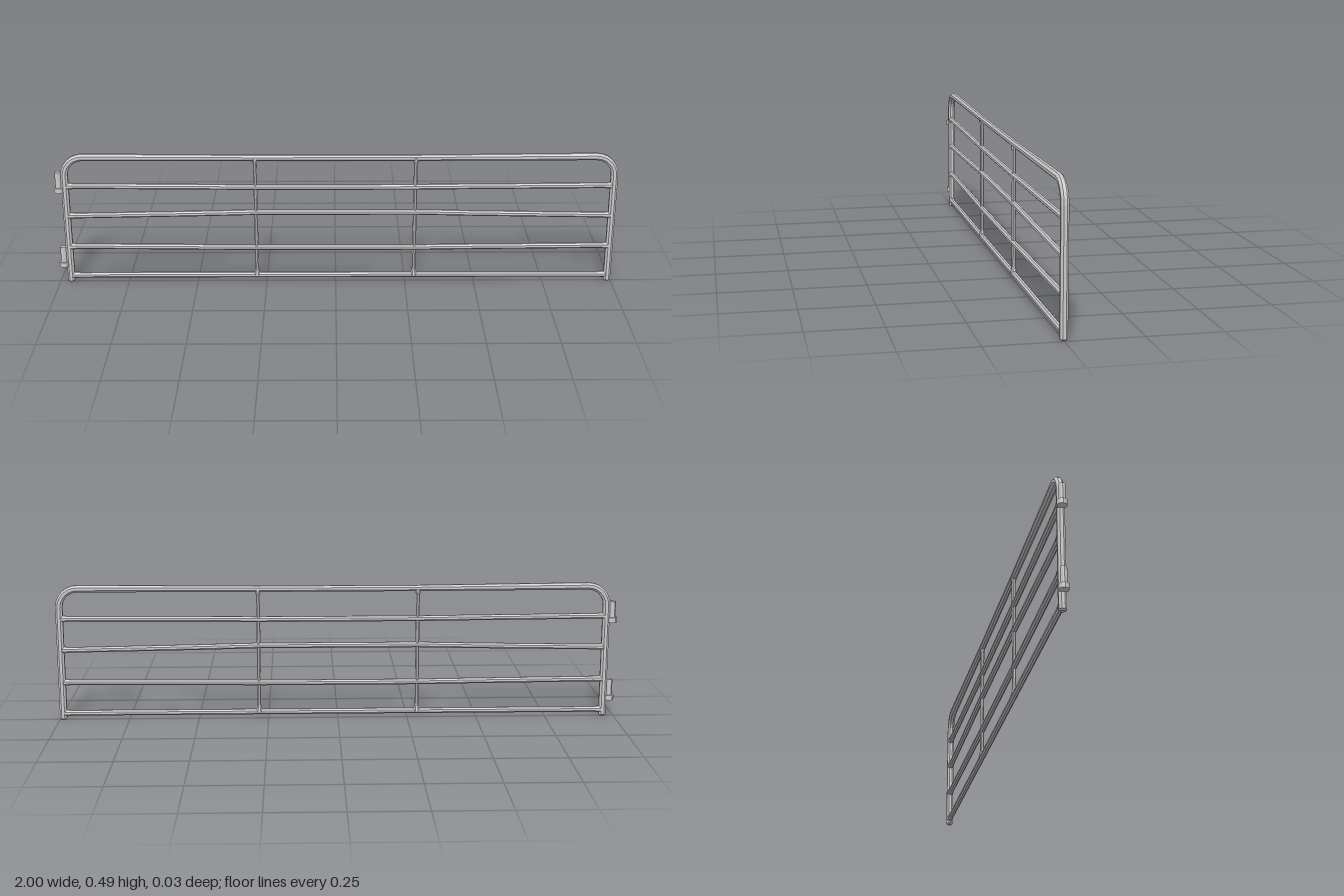
import * as THREE from 'three';

const steel = new THREE.MeshStandardMaterial({ color: 0xcccccc, flatShading: true });
const SIDES = 8;

// Capped octagonal tube along a path in the xy plane; each point is [x, y, radius].
// Radius is measured to the flats, which face +-z.
function pipe(name, path) {
  const pos = [], idx = [], n = path.length;
  const p = path.map(([x, y]) => new THREE.Vector2(x, y));
  for (let i = 0; i < n; i++) {
    const a = p[Math.max(i - 1, 0)], b = p[Math.min(i + 1, n - 1)];
    const t = b.clone().sub(a).normalize();
    const r = path[i][2] / Math.cos(Math.PI / SIDES);
    for (let k = 0; k < SIDES; k++) {
      const ang = ((k + 0.5) / SIDES) * Math.PI * 2;
      const u = Math.cos(ang) * r;
      pos.push(p[i].x - t.y * u, p[i].y + t.x * u, Math.sin(ang) * r);
    }
  }
  for (let i = 0; i < n - 1; i++) {
    for (let k = 0; k < SIDES; k++) {
      const k2 = (k + 1) % SIDES;
      const a = i * SIDES + k, b = i * SIDES + k2;
      idx.push(a, b, a + SIDES, b, b + SIDES, a + SIDES);
    }
  }
  // End caps
  const last = (n - 1) * SIDES;
  for (let k = 1; k < SIDES - 1; k++) {
    idx.push(0, k + 1, k, last, last + k, last + k + 1);
  }
  const geo = new THREE.BufferGeometry();
  geo.setAttribute('position', new THREE.Float32BufferAttribute(pos, 3));
  geo.setIndex(idx);
  geo.computeVertexNormals();
  const mesh = new THREE.Mesh(geo, steel);
  mesh.name = name;
  return mesh;
}

export function createModel() {
  const gate = new THREE.Group();
  gate.name = 'fieldGate';

  const LEFT = -0.96, RIGHT = 0.987, TOP = 0.479, R = 0.0125, BEND = 0.068;

  // Outer hoop: post, rounded corner, slightly sagging top rail, corner, post
  const hoop = [[LEFT, 0, 0.007], [LEFT, 0.005, R]];
  for (let i = 0; i <= 6; i++) {
    const a = Math.PI - (i / 6) * Math.PI / 2;
    hoop.push([LEFT + BEND + Math.cos(a) * BEND, TOP - BEND + Math.sin(a) * BEND, R]);
  }
  hoop.push([-0.285, 0.475, 0.0105], [0.283, 0.475, 0.0105]);
  for (let i = 0; i <= 6; i++) {
    const a = Math.PI / 2 - (i / 6) * Math.PI / 2;
    hoop.push([RIGHT - BEND + Math.cos(a) * BEND, TOP - BEND + Math.sin(a) * BEND, R]);
  }
  hoop.push([RIGHT, 0.005, R], [RIGHT, 0, 0.007]);
  gate.add(pipe('outerFrame', hoop));

  // Horizontal rails: end height and height in the middle, with slightly flared ends
  const rails = [[0.024, 0.024], [0.138, 0.132], [0.257, 0.269], [0.37, 0.365]];
  rails.forEach(([yEnd, yMid], i) => {
    const yBetween = yEnd + (yMid - yEnd) * 0.6;
    gate.add(pipe('rail' + (i + 1), [
      [LEFT, yEnd, 0.0125],
      [LEFT + 0.035, yEnd, 0.0095],
      [-0.5, yBetween, 0.0095],
      [-0.285, yMid, 0.0095],
      [0.283, yMid, 0.0095],
      [0.5, yBetween, 0.0095],
      [RIGHT - 0.035, yEnd, 0.0095],
      [RIGHT, yEnd, 0.0125],
    ]));
  });

  // Slim uprights, flared where they meet the rails
  for (const x of [-0.285, 0.283]) {
    gate.add(pipe('upright', [
      [x, 0.024, 0.012],
      [x, 0.05, 0.0065],
      [x, 0.45, 0.0065],
      [x, 0.475, 0.011],
    ]));
  }

  // Hinges: a pin standing on a wider collar beside the post
  for (const y of [0.347, 0.06]) {
    const hinge = new THREE.Group();
    hinge.name = 'hinge';
    const collar = new THREE.Mesh(new THREE.CylinderGeometry(0.017, 0.017, 0.018, 12), steel);
    collar.name = 'hingeCollar';
    collar.position.y = 0.009;
    const pin = new THREE.Mesh(new THREE.CylinderGeometry(0.011, 0.011, 0.06, 12), steel);
    pin.name = 'hingePin';
    pin.position.y = 0.046;
    hinge.add(collar, pin);
    hinge.position.set(-0.983, y, 0);
    gate.add(hinge);
  }

  return gate;
}
